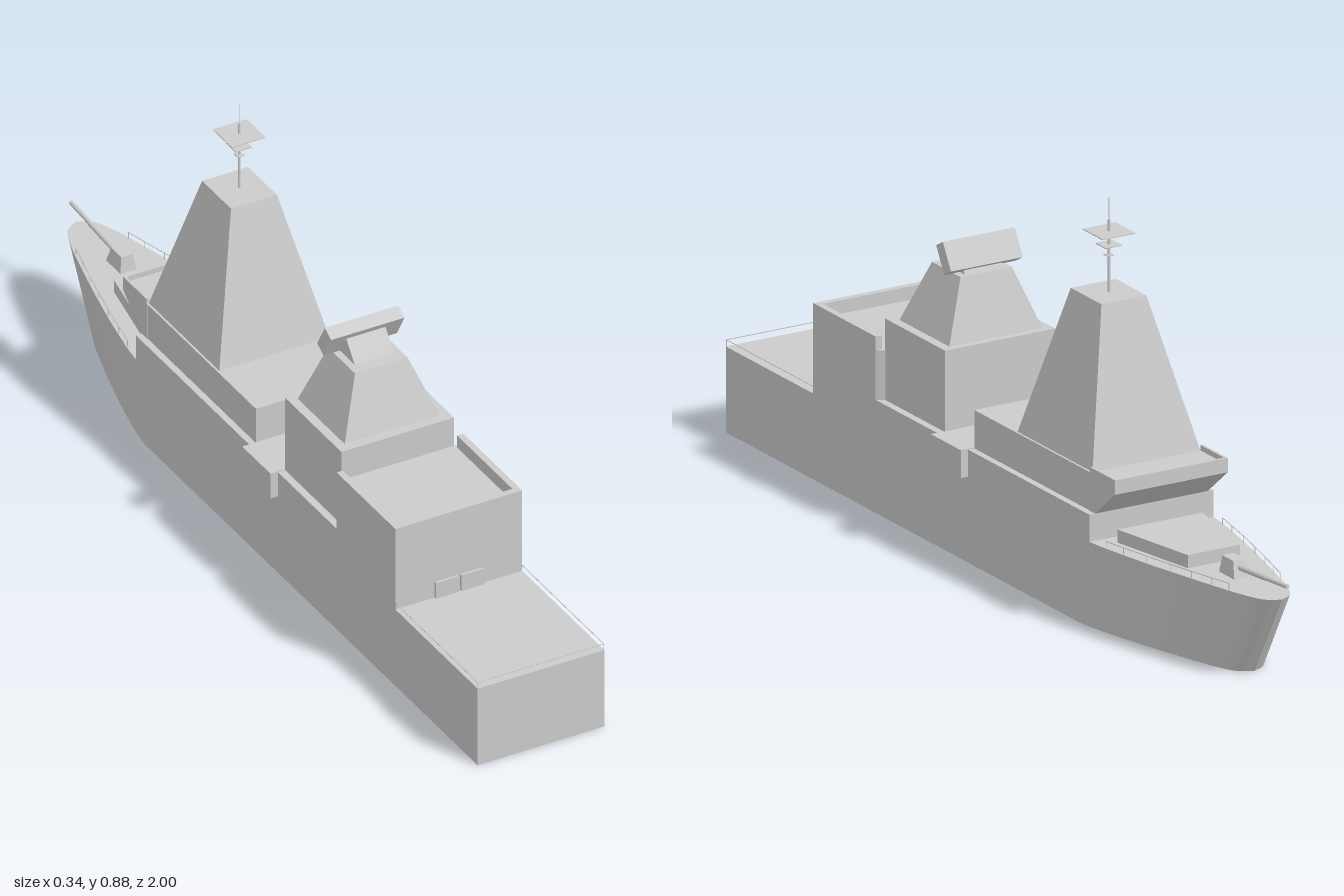
import * as THREE from 'three';
import { toCreasedNormals } from 'three/addons/utils/BufferGeometryUtils.js';

const grey = new THREE.MeshStandardMaterial({ color: 0xcccccc });
const HALF = 0.152; // half beam
const DECK = 0.19;

export function createModel() {
  const ship = new THREE.Group();
  ship.name = 'warship';

  const add = (name, geometry, parent = ship) => {
    const mesh = new THREE.Mesh(geometry, grey);
    mesh.name = name;
    parent.add(mesh);
    return mesh;
  };
  const group = (name) => {
    const g = new THREE.Group();
    g.name = name;
    ship.add(g);
    return g;
  };
  // box given by its limits
  const box = (name, x0, x1, y0, y1, z0, z1, parent) => {
    const mesh = add(name, new THREE.BoxGeometry(x1 - x0, y1 - y0, z1 - z0), parent);
    mesh.position.set((x0 + x1) / 2, (y0 + y1) / 2, (z0 + z1) / 2);
    return mesh;
  };
  // block with a rectangular base and top: each is [half width, z min, z max]
  const frustum = (name, y0, y1, base, top, parent) => {
    const g = new THREE.BoxGeometry(2, 2, 2);
    const p = g.attributes.position;
    for (let i = 0; i < p.count; i++) {
      const [w, a, b] = p.getY(i) > 0 ? top : base;
      p.setXYZ(i, p.getX(i) * w, p.getY(i) > 0 ? y1 : y0, p.getZ(i) > 0 ? b : a);
    }
    const flat = g.toNonIndexed();
    flat.computeVertexNormals();
    return add(name, flat, parent);
  };
  // upright prism from a plan of [x, z] points
  const prism = (plan, y0, y1) => {
    const shape = new THREE.Shape(plan.map(([x, z]) => new THREE.Vector2(x, z)));
    return new THREE.ExtrudeGeometry(shape, { depth: y1 - y0, bevelEnabled: false })
      .rotateX(Math.PI / 2).translate(0, y1, 0);
  };
  // prism across the ship from a side profile of [z, y] points
  const crossPrism = (profile, half) => {
    const shape = new THREE.Shape(profile.map(([z, y]) => new THREE.Vector2(z, y)));
    return new THREE.ExtrudeGeometry(shape, { depth: 2 * half, bevelEnabled: false })
      .rotateY(-Math.PI / 2).translate(half, 0, 0);
  };
  // thin rod between two points
  const rod = (name, a, b, r0, r1, parent, sides = 6) => {
    const from = new THREE.Vector3(...a), to = new THREE.Vector3(...b);
    const mesh = add(name, new THREE.CylinderGeometry(r1, r0, from.distanceTo(to), sides), parent);
    mesh.position.copy(from).add(to).multiplyScalar(0.5);
    mesh.quaternion.setFromUnitVectors(new THREE.Vector3(0, 1, 0), to.sub(from).normalize());
    return mesh;
  };

  // Hull: deck outline with a raked bow
  const bow = new THREE.CatmullRomCurve3([
    [HALF, -0.2], [HALF, -0.45], [0.136, -0.56], [0.107, -0.7], [0.078, -0.82],
    [0.053, -0.91], [0.03, -0.96], [0, -0.978],
  ].map(([x, z]) => new THREE.Vector3(x, 0, z))).getPoints(42).map((v) => [Math.min(v.x, HALF), v.z]);
  const mirrored = bow.slice(0, -1).reverse().map(([x, z]) => [-x, z]);
  const hull = prism([[HALF, 1], ...bow, ...mirrored, [-HALF, 1]], 0, DECK);
  const hp = hull.attributes.position;
  for (let i = 0; i < hp.count; i++) {
    const t = THREE.MathUtils.clamp((-hp.getZ(i) - 0.2) / 0.775, 0, 1);
    if (hp.getY(i) < 0.1) hp.setZ(i, hp.getZ(i) + 0.11 * t);
  }
  add('hull', toCreasedNormals(hull, 0.5));

  // Raised midship sides and side platforms
  box('midshipHull', -HALF, HALF, DECK, 0.25, -0.455, 0.65);
  box('sidePlatform', -0.17, 0.17, DECK, 0.252, 0.03, 0.15);

  // Hangar: solid up to a sunken roof, with a bulwark round it
  const hangar = group('hangar');
  const hangarPlan = [[HALF, 0.65], [HALF, 0.4], [0.135, 0.388], [-0.135, 0.388], [-HALF, 0.4], [-HALF, 0.65]];
  add('hangarBody', prism(hangarPlan, 0.25, 0.36), hangar);
  for (const s of [-1, 1]) {
    const x = [s * 0.137, s * HALF].sort((a, b) => a - b);
    box('hangarSideBulwark', x[0], x[1], 0.36, 0.39, 0.4, 0.65, hangar);
    const d = [s * 0.003, s * 0.058].sort((a, b) => a - b);
    box('hangarDoor', d[0], d[1], DECK, 0.229, 0.65, 0.656, hangar);
  }
  box('hangarAftBulwark', -0.137, 0.137, 0.36, 0.39, 0.635, 0.65, hangar);

  // Aft deckhouse and radar tower
  box('aftDeckhouse', -0.135, 0.135, 0.25, 0.43, 0.15, 0.39);
  frustum('aftTower', 0.43, 0.563, [0.114, 0.167, 0.367], [0.063, 0.206, 0.32]);
  const radar = group('aftRadar');
  add('radarPedestal', crossPrism([[0.29, 0.563], [0.25, 0.613], [0.235, 0.6], [0.215, 0.563]], 0.047), radar);
  const panel = add('radarPanel', new THREE.BoxGeometry(0.176, 0.065, 0.031), radar);
  panel.position.set(0, 0.601, 0.233);
  panel.rotation.x = 0.52;

  // Forward superstructure and overhanging bridge
  box('forwardDeckhouse', -0.137, 0.137, 0.25, 0.335, -0.455, 0.03);
  const bridge = group('bridge');
  add('bridgeFront', crossPrism([[-0.43, 0.25], [-0.43, 0.335], [-0.535, 0.335], [-0.535, 0.315], [-0.455, 0.25]], 0.138), bridge);
  box('bridgeFrontBulwark', -0.138, 0.138, 0.335, 0.347, -0.535, -0.529, bridge);
  for (const s of [-1, 1]) {
    box('bridgeSideBulwark', s * 0.135 - 0.003, s * 0.135 + 0.003, 0.335, 0.347, -0.529, -0.435, bridge);
  }

  // Main tower and mast
  frustum('mainTower', 0.335, 0.665, [0.132, -0.435, -0.135], [0.055, -0.345, -0.222]);
  const mast = group('mast');
  const mz = -0.285;
  rod('mastPole', [0, 0.665, mz], [0, 0.825, mz], 0.003, 0.003, mast, 8);
  rod('mastTip', [0, 0.825, mz], [0, 0.875, mz], 0.0007, 0.0007, mast);
  for (const [y, h] of [[0.747, 0.008], [0.77, 0.02], [0.799, 0.04]]) {
    box('mastPlatform', -h, h, y - 0.001, y + 0.001, mz - h, mz + h, mast);
  }

  // Foredeck house, tapering towards the bow
  add('foredeckHouse', prism([[0.104, -0.49], [0.064, -0.705], [-0.064, -0.705], [-0.104, -0.49]], DECK, 0.219));

  // Bow gun
  const gun = group('bowGun');
  frustum('gunTurret', DECK, 0.227, [0.019, -0.818, -0.757], [0.014, -0.805, -0.762], gun);
  rod('gunSleeve', [0, 0.21, -0.8], [0, 0.219, -0.92], 0.006, 0.006, gun, 8);
  rod('gunBarrel', [0, 0.219, -0.92], [0, 0.225, -1], 0.005, 0.005, gun, 8);

  // Railings round the flight deck and along the bow
  const rails = group('railings');
  const railing = (points) => points.forEach(([x, z], i) => {
    rod('railPost', [x, DECK, z], [x, 0.205, z], 0.001, 0.001, rails, 4);
    if (i) rod('railBar', [points[i - 1][0], 0.205, points[i - 1][1]], [x, 0.205, z], 0.001, 0.001, rails, 4);
  });
  const e = HALF - 0.001;
  railing([[e, 0.65], [e, 0.999], [-e, 0.999], [-e, 0.65]]);
  const bowRail = bow.filter(([, z], i) => z < -0.455 && z > -0.89 && i % 3 === 0);
  for (const s of [-1, 1]) railing(bowRail.map(([x, z]) => [s * (x - 0.003), z]));

  return ship;
}
